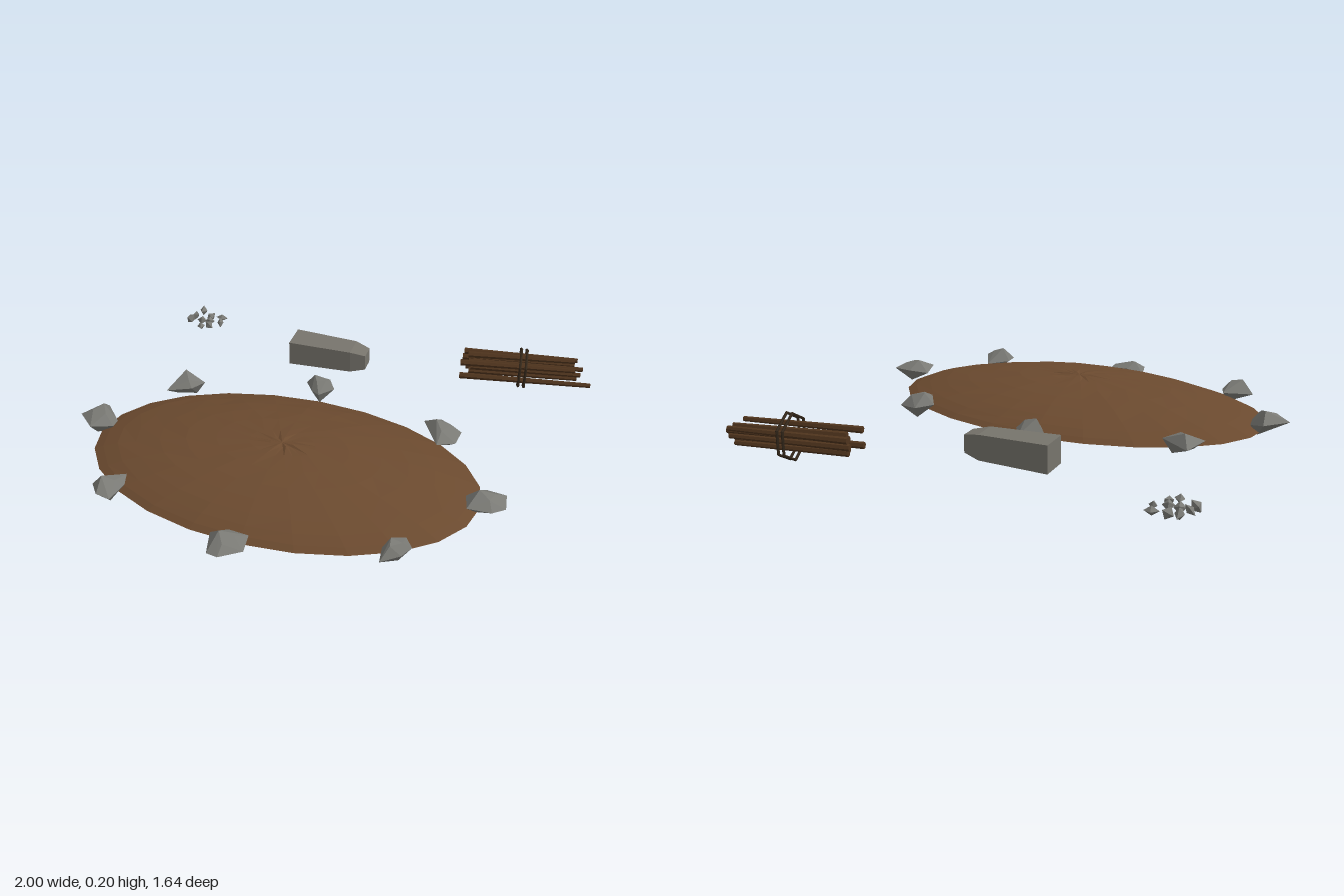
import * as THREE from 'three';
import { ConvexGeometry } from 'three/addons/geometries/ConvexGeometry.js';

function seeded(seed) {
  let s = seed;
  return () => (s = (s * 16807) % 2147483647) / 2147483647;
}

const mat = (name, color, extra = {}) =>
  new THREE.MeshStandardMaterial({ name, color, flatShading: true, ...extra });

export function createModel() {
  const model = new THREE.Group();
  const rand = seeded(4217);
  const jitter = (a) => (rand() * 2 - 1) * a;
  const soil = mat('soil brown', 0x6b4a2f, { side: THREE.DoubleSide });
  const stone = mat('stone grey', 0x7a7a75);
  const slabStone = mat('slab grey', 0x77746c);
  const wood = mat('stick brown', 0x4f341d);
  const cord = mat('cord brown', 0x33271a);

  const add = (parent, geometry, material, name) => {
    const mesh = new THREE.Mesh(geometry, material);
    mesh.name = name;
    parent.add(mesh);
    return mesh;
  };
  const group = (name) => {
    const g = new THREE.Group();
    g.name = name;
    model.add(g);
    return g;
  };

  // Earth mound: open elliptical dome with a slightly rough crown
  const segments = 24;
  const rings = [0, 0.06, 0.17, 0.34, 0.5, 0.64, 0.77, 0.87, 0.95, 1];
  const dome = new THREE.PlaneGeometry(1, 1, segments, rings.length - 1);
  const pos = dome.attributes.position;
  rings.forEach((t, r) => {
    const rough = r === 0 || t > 0.9 ? 0 : r === 1 ? 0.005 : 0.002;
    for (let i = 0; i < segments; i++) {
      const a = (i / segments) * Math.PI * 2;
      const y = 0.06 + 0.124 * Math.pow(1 - t * t, 0.85) + jitter(rough);
      const put = (k) => pos.setXYZ(r * (segments + 1) + k, -0.1 + 0.8 * t * Math.sin(a), y, 0.228 + 0.475 * t * Math.cos(a));
      put(i);
      if (i === 0) put(segments);
    }
  });
  dome.computeVertexNormals();
  add(model, dome, soil, 'mound');

  // Border rocks: [bottom, top, outline as x, z pairs]
  const rocks = [
    [0.04, 0.12, [-0.22, 0.69, -0.19, 0.8, -0.14, 0.815, -0.06, 0.76, -0.07, 0.68, -0.15, 0.675]],
    [0.06, 0.15, [0.64, 0.22, 0.71, 0.18, 0.79, 0.19, 0.8, 0.25, 0.755, 0.3, 0.66, 0.31]],
    [0.045, 0.145, [0.41, 0.585, 0.48, 0.505, 0.52, 0.58, 0.49, 0.62, 0.42, 0.66]],
    [0.045, 0.145, [0.375, -0.185, 0.44, -0.23, 0.535, -0.185, 0.53, -0.09, 0.46, -0.05]],
    [0.035, 0.16, [-0.18, -0.31, -0.09, -0.36, -0.05, -0.29, -0.1, -0.225, -0.14, -0.25]],
    [0.05, 0.145, [-0.72, -0.235, -0.6, -0.165, -0.64, -0.11, -0.745, -0.08]],
    [0.045, 0.155, [-0.915, 0.12, -0.85, 0.18, -0.845, 0.23, -0.92, 0.285, -1, 0.21]],
    [0.05, 0.14, [-0.76, 0.58, -0.65, 0.5, -0.63, 0.56, -0.64, 0.67, -0.7, 0.66]],
  ];
  const border = group('borderRocks');
  rocks.forEach(([low, high, o], n) => {
    const count = o.length / 2;
    const center = new THREE.Vector2();
    for (let i = 0; i < count; i++) center.add(new THREE.Vector2(o[2 * i], o[2 * i + 1]).divideScalar(count));
    const points = [];
    const shrunk = (i, k, y) => points.push(new THREE.Vector3(
      center.x + (o[2 * i] - center.x) * k, y, center.y + (o[2 * i + 1] - center.y) * k));
    for (let i = 0; i < count; i++) {
      shrunk(i, 1, (low + high) / 2 + jitter(0.015));
      if (i % 2 === 0) shrunk(i, 0.4, i === 0 ? high : high - 0.015);
      else shrunk(i, 0.5, i === 1 ? low : low + 0.015);
    }
    add(border, new ConvexGeometry(points), stone, 'borderRock' + (n + 1));
  });

  // Stone slab: rectangular sections narrowing toward one end
  const sections = [
    [-0.32, -0.595, -0.475, 0.07, 0.18],
    [-0.04, -0.588, -0.488, 0.075, 0.175],
    [0.026, -0.572, -0.503, 0.09, 0.16],
  ];
  const corners = sections.flatMap(([x, z0, z1, y0, y1]) =>
    [[y0, z0], [y0, z1], [y1, z0], [y1, z1]].map(([y, z]) => new THREE.Vector3(x, y, z)));
  add(model, new ConvexGeometry(corners), slabStone, 'stoneSlab');

  // Stick bundle: [start x, start z, end x, end z, height]
  const sticks = [
    [0.42, -0.73, 0.91, -0.812, 0.1], [0.455, -0.69, 0.95, -0.778, 0.105],
    [0.47, -0.66, 0.945, -0.738, 0.1], [0.43, -0.62, 0.995, -0.715, 0.07],
    [0.44, -0.71, 0.9, -0.795, 0.068], [0.46, -0.675, 0.93, -0.755, 0.068],
    [0.425, -0.735, 0.92, -0.808, 0.128], [0.45, -0.7, 0.91, -0.785, 0.135],
    [0.43, -0.625, 0.92, -0.71, 0.135],
  ];
  const bundle = group('stickBundle');
  const up = new THREE.Vector3(0, 1, 0);
  sticks.forEach(([x0, z0, x1, z1, y], n) => {
    const a = new THREE.Vector3(x0, y, z0);
    const b = new THREE.Vector3(x1, y, z1);
    const stick = add(bundle, new THREE.CylinderGeometry(0.01, 0.014, a.distanceTo(b), 6), wood, 'stick' + (n + 1));
    stick.position.copy(a).add(b).multiplyScalar(0.5);
    stick.quaternion.setFromUnitVectors(up, b.sub(a).normalize());
  });

  // Two six-sided cord loops around the bundle
  for (const x of [0.68, 0.705]) {
    const loop = add(bundle, new THREE.TorusGeometry(0.094, 0.006, 5, 6).rotateZ(Math.PI / 2), cord, 'cordLoop');
    loop.position.set(x, 0.1, -0.72);
    loop.rotation.y = Math.PI / 2 + 0.14;
  }

  // Scattered stone chips
  const chips = [
    [-0.86, -0.76], [-0.815, -0.74], [-0.76, -0.745], [-0.75, -0.7], [-0.8, -0.69],
    [-0.84, -0.69], [-0.89, -0.675], [-0.82, -0.63], [-0.79, -0.655], [-0.88, -0.71],
  ];
  const pile = group('stoneChips');
  chips.forEach(([x, z], n) => {
    const chip = add(pile, new THREE.OctahedronGeometry(0.025), stone, 'stoneChip' + (n + 1));
    chip.scale.set(0.8 + rand() * 0.5, 0.6 + rand() * 0.4, 0.6 + rand() * 0.4);
    chip.rotation.set(rand(), rand() * 6, rand());
    chip.position.set(x, 0.08 + jitter(0.008), z);
  });
  return model;
}
